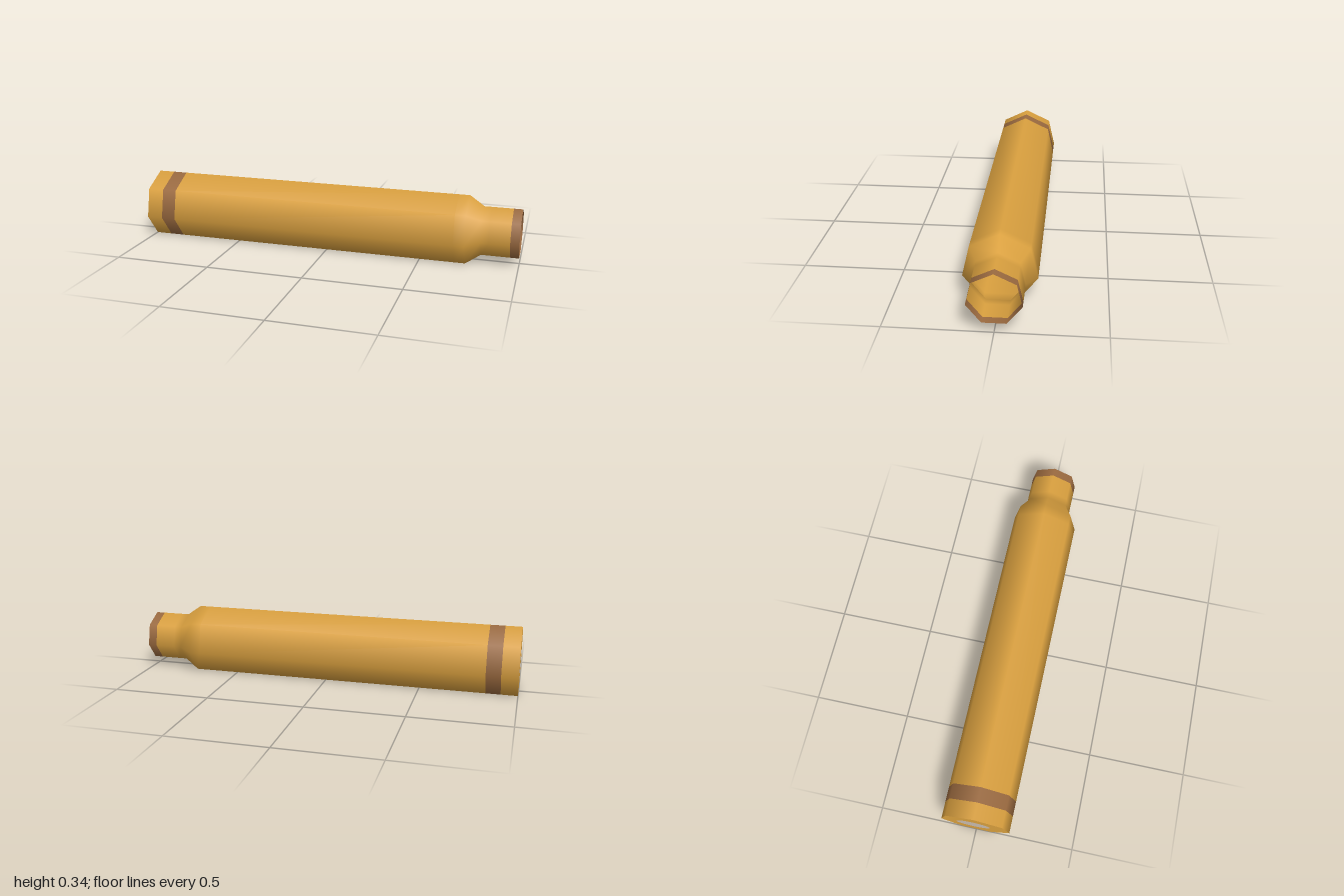
import * as THREE from 'three';

const SIDES = 7, R = 0.179, NECK = 0.127, AXIS_Y = 0.161;

const material = (name, color) => {
  const m = new THREE.MeshStandardMaterial({ color, side: THREE.DoubleSide });
  m.name = name;
  return m;
};

export function createModel() {
  const brass = material('brass', 0xdba13f);
  const brown = material('brown', 0x9c6b40);
  const grey = material('grey', 0xcbbdb0);

  const group = new THREE.Group();
  group.name = 'casing';
  const add = (name, geometry, mat) => {
    const mesh = new THREE.Mesh(geometry, mat);
    mesh.name = name;
    mesh.position.y = AXIS_Y;
    group.add(mesh);
  };

  // Seven-sided smooth tube along x, from [x, radius] pairs, with a corner on top
  const tube = (profile) => new THREE.LatheGeometry(
    profile.map(([x, r]) => new THREE.Vector2(r, x)), SIDES, -Math.PI / 2).rotateZ(-Math.PI / 2);

  // Open shell: base, groove band, body with shoulder and neck, mouth band
  add('baseWall', tube([[-1, R], [-0.915, R]]), brass);
  add('grooveBand', tube([[-0.915, R], [-0.84, R]]), brown);
  add('body', tube([[-0.84, R], [0.68, R], [0.735, R], [0.81, NECK], [0.85, NECK], [0.955, NECK]]), brass);
  add('mouthBand', tube([[0.955, NECK], [1, NECK]]), brown);

  // Base plate with the primer disc set into it, both facing -x
  const plate = new THREE.Shape(Array.from({ length: SIDES }, (_, i) => {
    const a = Math.PI / 2 + (i * 2 * Math.PI) / SIDES;
    return new THREE.Vector2(R * Math.cos(a), R * Math.sin(a));
  }));
  const disc = () => new THREE.Path().absellipse(-0.009, -0.001, 0.084, 0.074, 0, Math.PI * 2);
  plate.holes.push(disc());
  const face = (shape) => new THREE.ShapeGeometry(shape, 16).rotateY(-Math.PI / 2).translate(-1, 0, 0);
  add('basePlate', face(plate), brass);
  add('primer', face(new THREE.Shape(disc().getPoints(16))), grey);

  return group;
}
